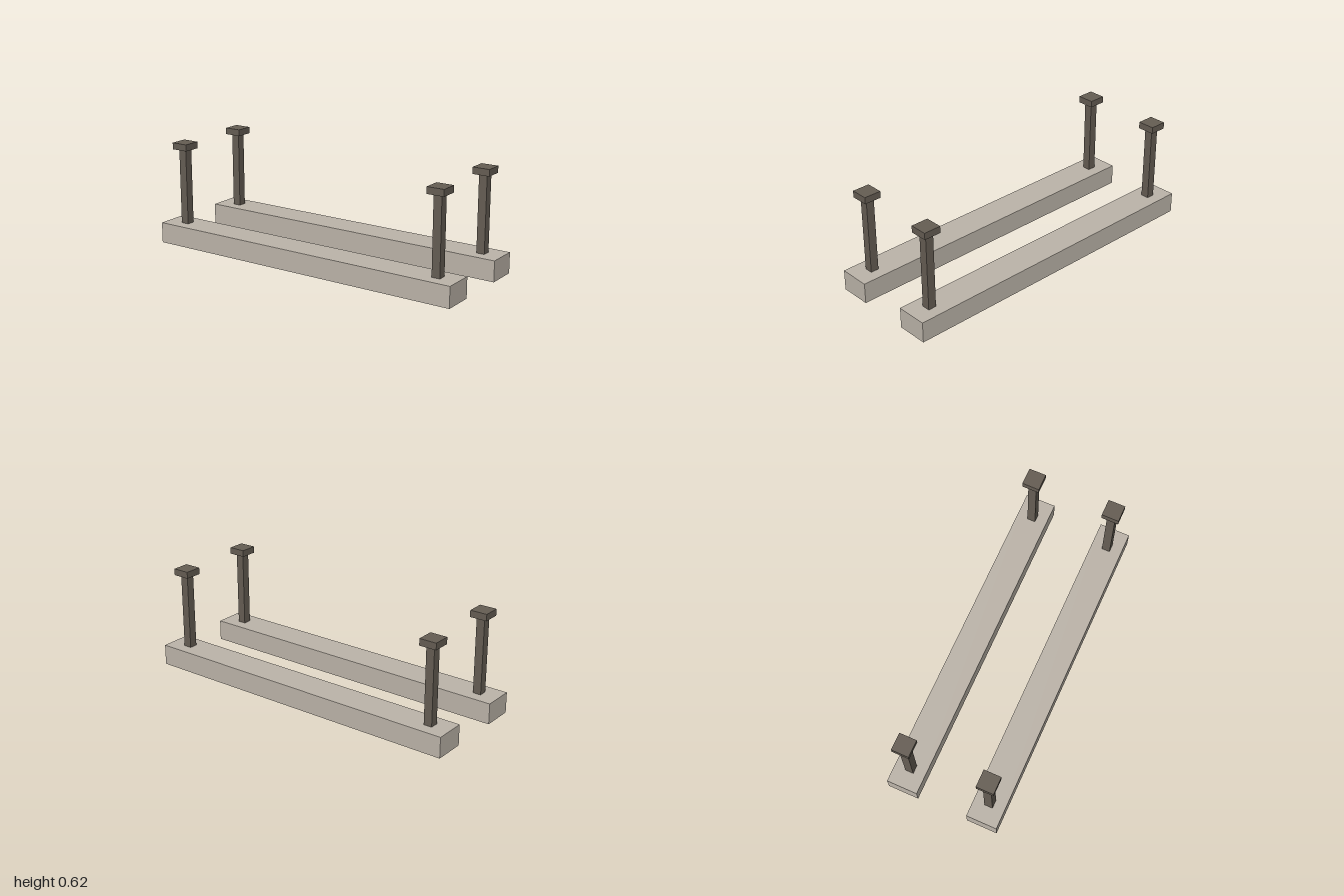
import * as THREE from 'three';

const stone = new THREE.MeshStandardMaterial({ color: 0xbdb5aa });
stone.name = 'paleStone';
const metal = new THREE.MeshStandardMaterial({ color: 0x665e54 });
metal.name = 'darkMetal';

// Box standing on height y
function box(name, material, [w, h, d], x, y, z) {
  const mesh = new THREE.Mesh(new THREE.BoxGeometry(w, h, d), material);
  mesh.name = name;
  mesh.position.set(x, y + h / 2, z);
  return mesh;
}

export function createModel() {
  const model = new THREE.Group();
  model.name = 'twinBeamsWithPosts';

  for (const [side, z] of [['front', 0.25], ['back', -0.25]]) {
    // Long foundation beam
    model.add(box(side + 'Beam', stone, [2, 0.125, 0.1875], 0, 0, z));

    // Slim post with a square cap near each end
    for (const [end, x] of [['Left', 0.875], ['Right', -0.875]]) {
      model.add(box(side + end + 'Post', metal, [0.05, 0.46, 0.05], x, 0.125, z));
      model.add(box(side + end + 'Cap', metal, [0.104, 0.04, 0.104], x, 0.585, z));
    }
  }
  return model;
}
